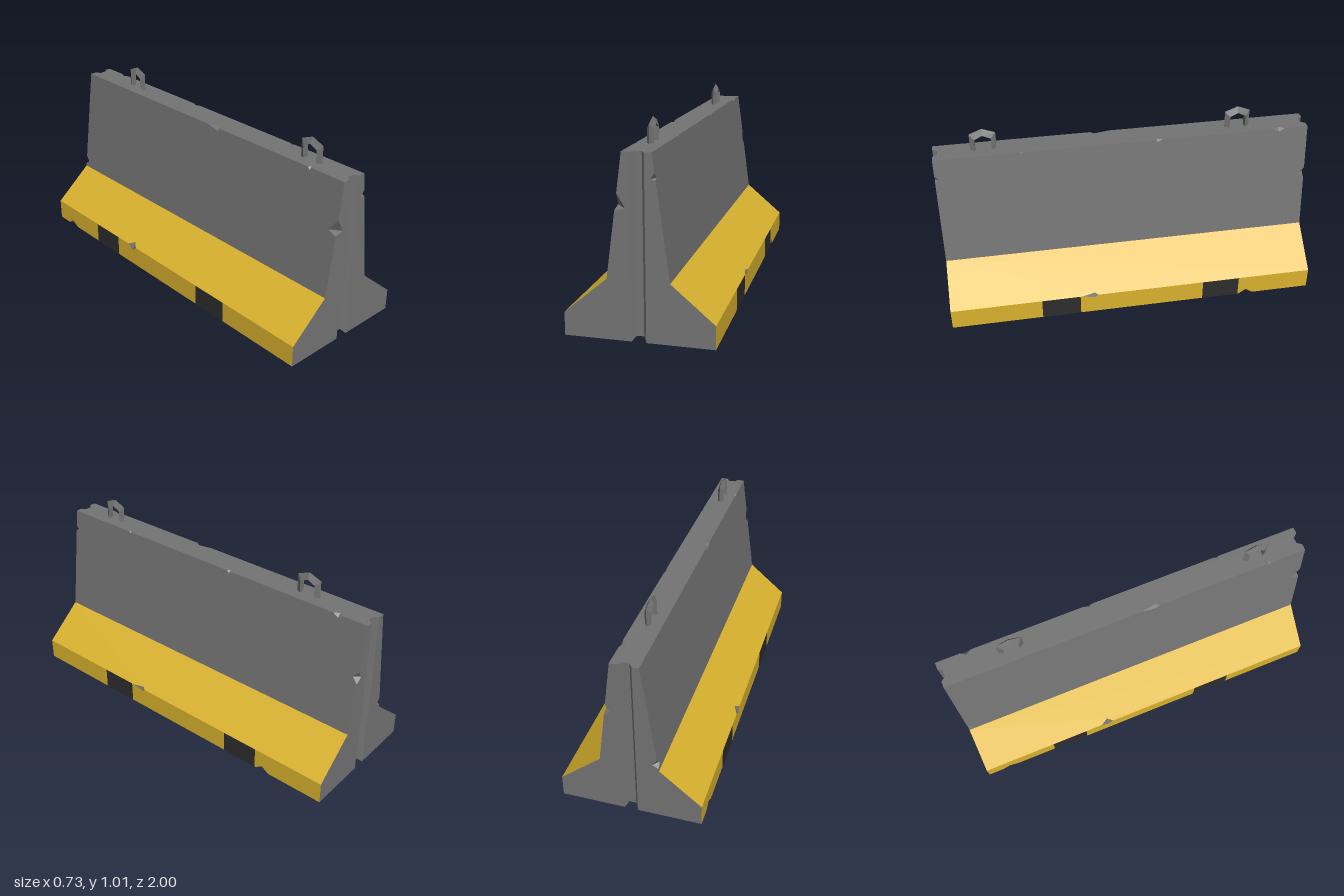
import * as THREE from 'three';

const V = (x, y, z) => new THREE.Vector3(x, y, z);

// Collects flat polygons into a non-indexed, hard-edged geometry.
class Faces {
  constructor() { this.data = []; }

  add(points, normal) {
    const u = points[1].clone().sub(points[0]).normalize();
    const v = normal.clone().cross(u).normalize();
    const flat = points.map((p) => new THREE.Vector2(p.dot(u), p.dot(v)));
    for (const tri of THREE.ShapeUtils.triangulateShape(flat, [])) {
      const [a, b, c] = tri.map((i) => points[i]);
      const n = b.clone().sub(a).cross(c.clone().sub(a));
      const order = n.dot(normal) < 0 ? [a, c, b] : [a, b, c];
      for (const p of order) this.data.push(p.x, p.y, p.z);
    }
  }

  mesh(name, material) {
    const g = new THREE.BufferGeometry();
    g.setAttribute('position', new THREE.Float32BufferAttribute(this.data, 3));
    g.computeVertexNormals();
    const m = new THREE.Mesh(g, material);
    m.name = name;
    return m;
  }
}

// Newell normal, valid for any planar polygon.
function polygonNormal(pts) {
  const n = V(0, 0, 0);
  pts.forEach((p, i) => n.add(p.clone().cross(pts[(i + 1) % pts.length])));
  return n.normalize();
}

export function createModel() {
  const group = new THREE.Group();
  const material = (name, color) => {
    const m = new THREE.MeshStandardMaterial({ color });
    m.name = name;
    return m;
  };
  const concrete = material('concrete grey', 0x747474);
  const yellow = material('safety yellow', 0xd9b22e);
  const black = material('marking black', 0x2d2d2d);

  // Profile: foot, kick top, slope top, crown; groove lip and groove floor.
  const FOOT = 0.362, KICK = 0.115, WAIST = 0.15, WAIST_Y = 0.295;
  const CROWN = 0.07, TOP = 0.89, LIP = 0.035, IN = 0.018, RISE = 0.02, END = 0.975;

  // Chips on straight edges: edge start, edge end, from, to, deepest point, depth.
  const chips = [];
  const chip = (p, q, from, to, mid, depth) => chips.push({ p, q, from, to, mid, depth, pits: [], normals: [] });
  // End-corner chips are given by height, long-edge chips by z.
  const cornerChip = (sx, sz, y0, y1, ym, depth) => {
    const t = (y) => (y - WAIST_Y) / (TOP - WAIST_Y);
    chip(V(sx * WAIST, WAIST_Y, sz), V(sx * CROWN, TOP, sz), t(y0), t(y1), t(ym), depth);
  };
  const longChip = (x, y, z0, z1, zm, depth) => {
    const t = (z) => (z + 1) / 2;
    chip(V(x, y, -1), V(x, y, 1), t(z0), t(z1), t(zm), depth);
  };
  cornerChip(-1, 1, 0.62, 0.7, 0.637, 0.05);
  cornerChip(1, 1, 0.765, 0.8, 0.775, 0.025);
  cornerChip(1, -1, 0.58, 0.645, 0.612, 0.03);
  cornerChip(-1, -1, 0.31, 0.36, 0.33, 0.03);
  longChip(CROWN, TOP, -0.87, -0.81, -0.84, 0.018);
  longChip(CROWN, TOP, -0.2, -0.155, -0.17, 0.012);
  longChip(CROWN, TOP, 0.535, 0.56, 0.55, 0.01);
  longChip(-CROWN, TOP, 0.07, 0.17, 0.15, 0.016);
  longChip(-CROWN, TOP, 0.775, 0.805, 0.79, 0.014);
  longChip(FOOT, KICK, 0.2, 0.29, 0.22, 0.014);
  longChip(FOOT, 0, -0.68, -0.6, -0.64, 0.028);
  longChip(-FOOT, KICK, -0.29, -0.22, -0.25, 0.028);
  longChip(-FOOT, 0, -0.91, -0.82, -0.87, 0.028);

  const body = new Faces();
  const paint = new Faces();

  // Adds a polygon facing the hint, with notches where chips break its edges.
  function panel(target, pts, hint) {
    let n = polygonNormal(pts);
    if (n.dot(hint) < 0) { pts = pts.slice().reverse(); n = n.negate(); }
    const out = [];
    pts.forEach((a, i) => {
      const b = pts[(i + 1) % pts.length];
      out.push(a);
      const same = (r, s) => r.distanceTo(s) < 1e-6;
      const inward = n.clone().cross(b.clone().sub(a)).normalize();
      const cuts = [];
      for (const c of chips) {
        const forward = same(c.p, a) && same(c.q, b);
        if (!forward && !(same(c.p, b) && same(c.q, a))) continue;
        const at = (t) => c.p.clone().lerp(c.q, t);
        const pit = at(c.mid).addScaledVector(inward, c.depth);
        c.pits.push(pit);
        c.normals.push(n);
        const run = [at(c.from), pit, at(c.to)];
        cuts.push({ t: forward ? c.from : 1 - c.to, run: forward ? run : run.reverse() });
      }
      cuts.sort((r, s) => r.t - s.t).forEach((c) => out.push(...c.run));
    });
    target.add(out, n);
  }

  // A strip running the length between two profile points.
  const strip = (target, [x0, y0], [x1, y1], hint, z = 1, w = z) => panel(target,
    [V(x0, y0, -z), V(x1, y1, -w), V(x1, y1, w), V(x0, y0, z)], hint);

  for (const s of [1, -1]) {
    const side = V(s, 0.1, 0);
    strip(paint, [s * FOOT, 0], [s * FOOT, KICK], side);
    strip(paint, [s * FOOT, KICK], [s * WAIST, WAIST_Y], side);
    strip(body, [s * WAIST, WAIST_Y], [s * CROWN, TOP], side);
    strip(body, [s * LIP, 0], [s * FOOT, 0], V(0, -1, 0));
    strip(body, [s * LIP, 0], [s * IN, RISE], V(-s, -1, 0), 1, END);

    // End faces and the slanted walls of the end grooves.
    for (const e of [1, -1]) {
      panel(body, [[LIP, 0], [FOOT, 0], [FOOT, KICK], [WAIST, WAIST_Y], [CROWN, TOP], [LIP, TOP]]
        .map(([x, y]) => V(s * x, y, e)), V(0, 0, e));
      panel(body, [V(s * LIP, 0, e), V(s * LIP, TOP, e), V(s * IN, TOP, e * END), V(s * IN, RISE, e * END)],
        V(-s, 0, e));
    }
  }
  // Groove floors under the base and at both ends.
  strip(body, [-IN, RISE], [IN, RISE], V(0, -1, 0), END);
  for (const e of [1, -1]) {
    panel(body, [V(-IN, RISE, e * END), V(IN, RISE, e * END), V(IN, TOP, e * END), V(-IN, TOP, e * END)], V(0, 0, e));
  }
  // Top face with the groove outlines cut into its ends.
  const halfTop = [[CROWN, 1], [LIP, 1], [IN, END], [-IN, END], [-LIP, 1], [-CROWN, 1]];
  panel(body, [...halfTop, ...halfTop.map(([x, z]) => [-x, -z])].map(([x, z]) => V(x, TOP, z)), V(0, 1, 0));

  // Broken faces inside each chip.
  for (const c of chips) {
    const hint = c.normals[0].clone().add(c.normals[1]);
    for (const t of [c.from, c.to]) {
      const tri = [c.p.clone().lerp(c.q, t), ...c.pits];
      const n = polygonNormal([tri[0], tri[1], tri[2]].map((p) => p.clone().sub(tri[0])));
      body.add(tri, n.dot(hint) < 0 ? n.negate() : n);
    }
  }
  group.add(body.mesh('concreteBody', concrete), paint.mesh('yellowBase', yellow));

  // Black marking plates on both kick faces.
  for (const s of [1, -1]) {
    for (const [z, width] of [[0.405, 0.21], [-0.49, 0.205]]) {
      const plate = new THREE.Mesh(new THREE.BoxGeometry(0.003, KICK - 0.001, width), black);
      plate.position.set(s * (FOOT + 0.0005), KICK / 2, z);
      plate.name = 'blackMarking';
      group.add(plate);
    }
  }

  // Lifting loops: a ridged bar with a triangular section, bent to a peak.
  const outer = [[-0.068, 0.88], [-0.068, 0.983], [0, 1.01], [0.068, 0.983], [0.068, 0.88]];
  const inner = [[-0.042, 0.88], [-0.042, 0.957], [0, 0.977], [0.042, 0.957], [0.042, 0.88]];
  for (const z of [0.737, -0.62]) {
    const loop = new Faces();
    for (let i = 0; i < 4; i++) {
      const o = [outer[i], outer[i + 1]].map(([w, y]) => V(0, y, w));
      const inn = (x) => [inner[i], inner[i + 1]].map(([w, y]) => V(x, y, w));
      const [r, l] = [inn(0.017), inn(-0.017)];
      const inwards = r[0].clone().add(r[1]).sub(o[0]).sub(o[1]).setX(0);
      loop.add([r[0], r[1], l[1], l[0]], inwards.normalize());
      for (const [side, s] of [[r, 1], [l, -1]]) {
        for (const tri of [[o[0], o[1], side[1]], [o[0], side[1], side[0]]]) {
          const n = polygonNormal(tri);
          loop.add(tri, n.x * s < 0 ? n.negate() : n);
        }
      }
    }
    const mesh = loop.mesh('liftingLoop', concrete);
    mesh.position.z = z;
    group.add(mesh);
  }
  return group;
}
